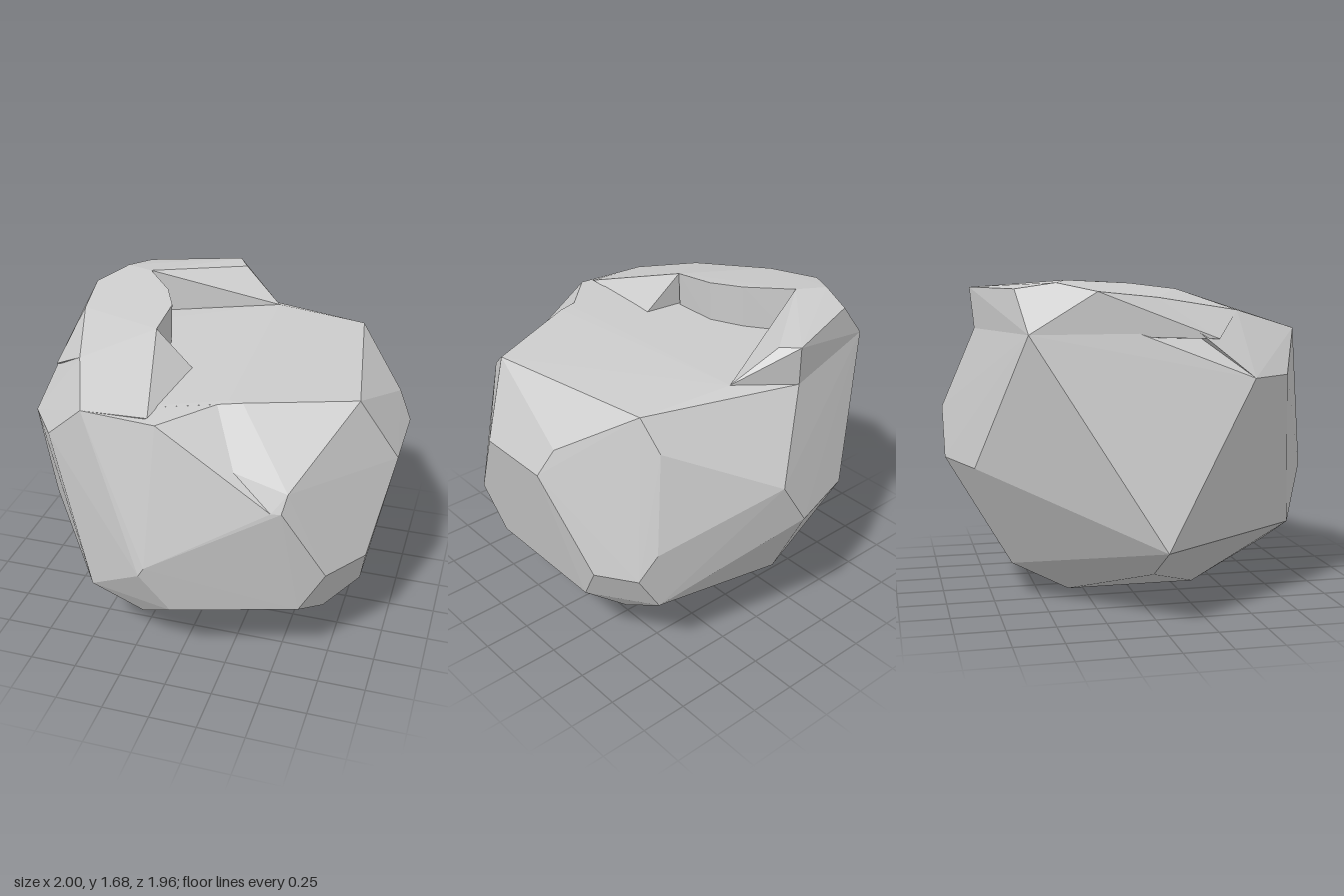
import * as THREE from 'three';
import { ConvexGeometry } from 'three/addons/geometries/ConvexGeometry.js';

const stone = new THREE.MeshStandardMaterial({ color: 0xcccccc, flatShading: true });

// One faceted chunk of stone, spanned by its corner points
function chunk(name, corners) {
  const points = corners.map(([x, y, z]) => new THREE.Vector3(x, y, z));
  const mesh = new THREE.Mesh(new ConvexGeometry(points), stone);
  mesh.name = name;
  return mesh;
}

export function createModel() {
  const rock = new THREE.Group();
  rock.name = 'rock';

  // Boulder corners, ring by ring from the ground up
  const base = [
    [-0.1, 0, 0.37], [0.34, 0, 0.23], [0.34, 0, -0.23], [-0.1, 0, -0.33],
    [-0.7, 0.22, 0], [-0.21, 0.19, -0.65], [-0.2, 0.25, 0.75],
    [0.71, 0.3, 0.5], [0.69, 0.29, -0.49],
  ];
  const belt = [
    [-1, 0.4, 0], [-0.46, 0.4, 0.79], [0, 0.4, 0.89], [0.62, 0.4, 0.7],
    [0.87, 0.4, 0.34], [0.87, 0.4, -0.38], [0.65, 0.4, -0.7],
    [-0.13, 0.65, 0.98], [-0.1, 0.7, 0.98], [0.75, 0.63, 0.69], [0.91, 0.64, 0.47],
    [0.9, 0.6, -0.5], [0.77, 0.6, -0.69], [0.69, 0.75, -0.74],
    [-0.07, 0.75, -0.98], [0.09, 1.0, -0.98], [-0.46, 0.75, -0.86],
  ];
  const crown = [
    [1, 1.08, 0.21], [1, 1.08, -0.21], [0.93, 1.22, -0.26],
    [0.5, 1.05, 0.85], [0.55, 1.05, 0.84], [0.57, 1.14, 0.8],
    [-0.85, 1.21, 0.47], [-0.69, 1.21, 0.69], [0.62, 1.27, -0.68],
    [0.81, 1.44, 0.34], [0.66, 1.44, -0.58], [0.16, 1.46, -0.65],
    [-0.14, 1.43, -0.82], [-0.8, 1.43, -0.63], [-0.8, 1.43, -0.1],
    [-0.46, 1.43, 0.8], [0.21, 1.46, 0.55], [0.28, 1.46, 0.56],
  ];
  rock.add(chunk('boulder', [...base, ...belt, ...crown]));

  // Corner jutting out at the front of the top
  rock.add(chunk('frontCorner', [
    [-0.07, 1.43, 0.84], [-0.46, 1.43, 0.8], [0.21, 1.46, 0.55], [0.5, 1.05, 0.85],
    [-0.1, 0.7, 0.98], [-0.69, 1.21, 0.69], [-0.3, 1.44, 0.4], [0, 1.1, 0.5],
  ]));

  // Raised ledge with a steep inner wall: upper rim, then foot
  rock.add(chunk('ledge', [
    [-0.27, 1.63, 0.22], [-0.27, 1.66, -0.03], [-0.35, 1.67, -0.2], [-0.52, 1.68, -0.41],
    [-0.68, 1.67, -0.48], [-0.8, 1.63, -0.3], [-0.75, 1.6, 0], [-0.6, 1.53, 0.45],
    [-0.28, 1.4, 0.22], [-0.28, 1.4, -0.03], [-0.36, 1.4, -0.2], [-0.52, 1.4, -0.41],
    [-0.8, 1.43, -0.63], [-0.8, 1.43, -0.1], [-0.8, 1.4, 0.3],
  ]));

  // Skirt sloping from the ledge to the front
  rock.add(chunk('ledgeSlope', [
    [-0.27, 1.63, 0.22], [-0.6, 1.53, 0.45], [-0.07, 1.45, 0.25], [-0.12, 1.44, 0.8],
    [-0.46, 1.43, 0.8], [-0.69, 1.21, 0.69], [-0.85, 1.21, 0.47], [-0.8, 1.43, 0.2],
    [-0.3, 1.35, 0.25],
  ]));

  // Wedge rising at the back
  rock.add(chunk('backWedge', [
    [-0.12, 1.64, -0.84], [-0.06, 1.63, -0.75], [0.16, 1.46, -0.65], [-0.26, 1.46, -0.5],
    [-0.52, 1.68, -0.41], [-0.68, 1.67, -0.48], [-0.61, 1.64, -0.67],
    [-0.8, 1.43, -0.63], [-0.14, 1.43, -0.82], [-0.52, 1.4, -0.41],
  ]));

  return rock;
}
